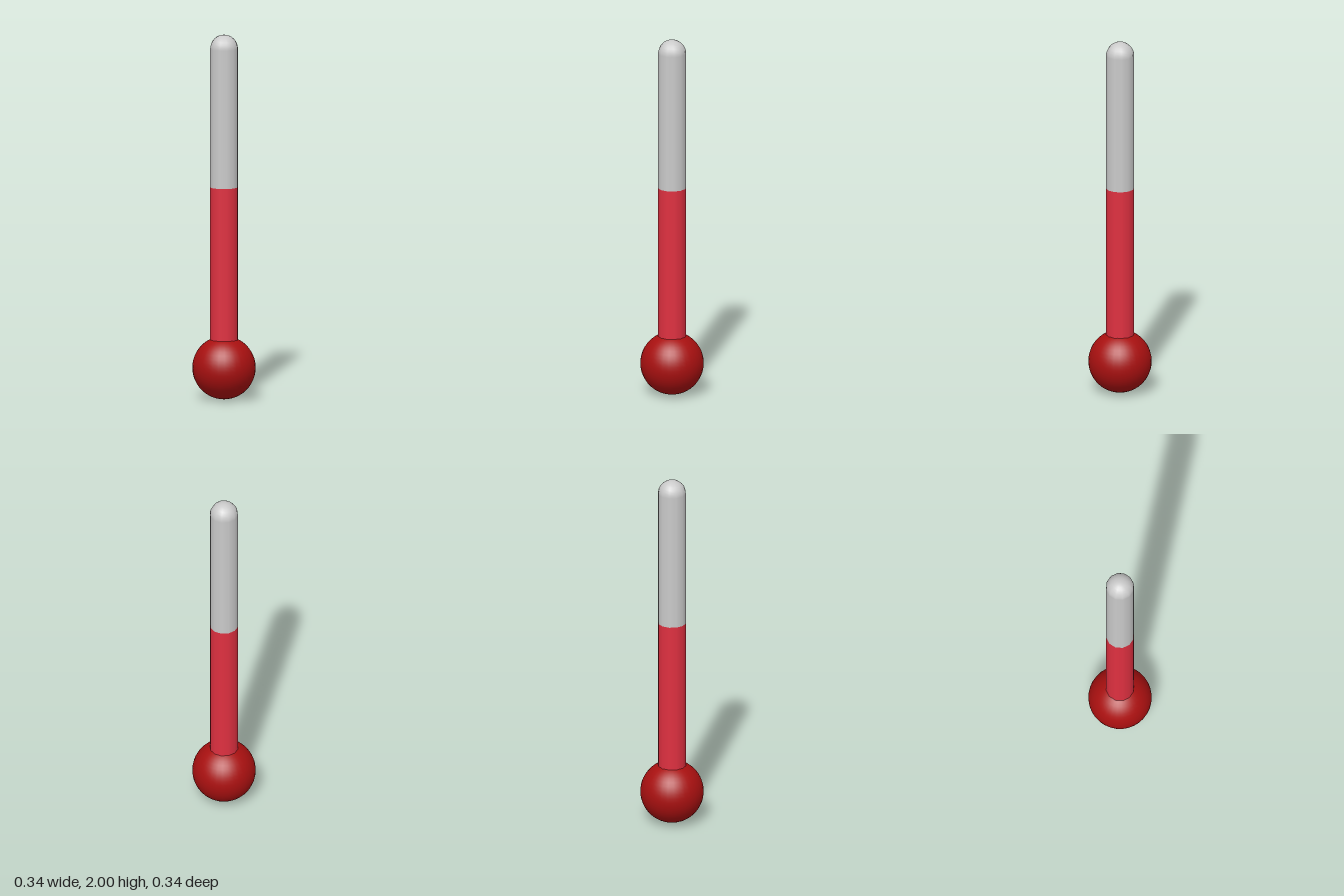
import * as THREE from 'three';

const BULB_R = 0.172, TUBE_R = 0.077, SIDES = 12;
const LEVEL = 1.165, SHOULDER = 2 - TUBE_R;

function makeMaterial(name, color) {
  const material = new THREE.MeshStandardMaterial({ color });
  material.name = name;
  return material;
}

export function createModel() {
  const model = new THREE.Group();
  model.name = 'thermometer';
  const bulbRed = makeMaterial('bulbDarkRed', 0xa81010);
  const fluidRed = makeMaterial('fluidRed', 0xdf3040);
  const glassGrey = makeMaterial('glassGrey', 0xcacaca);

  const add = (name, geometry, material, y) => {
    const mesh = new THREE.Mesh(geometry, material);
    mesh.name = name;
    mesh.position.y = y;
    model.add(mesh);
  };
  // Open twelve-sided section of the stem between two heights
  const addStem = (name, material, y0, y1) => add(name,
    new THREE.CylinderGeometry(TUBE_R, TUBE_R, y1 - y0, SIDES, 1, true), material, (y0 + y1) / 2);

  // Round reservoir at the base
  add('bulb', new THREE.SphereGeometry(BULB_R, 32, 24), bulbRed, BULB_R + 0.002);

  // Filled and empty parts of the stem
  addStem('fluidColumn', fluidRed, 0.25, LEVEL);
  addStem('emptyTube', glassGrey, LEVEL, SHOULDER);

  // Rounded tip
  add('tubeCap', new THREE.SphereGeometry(TUBE_R, SIDES, 8, 0, Math.PI * 2, 0, Math.PI / 2), glassGrey, SHOULDER);

  return model;
}
